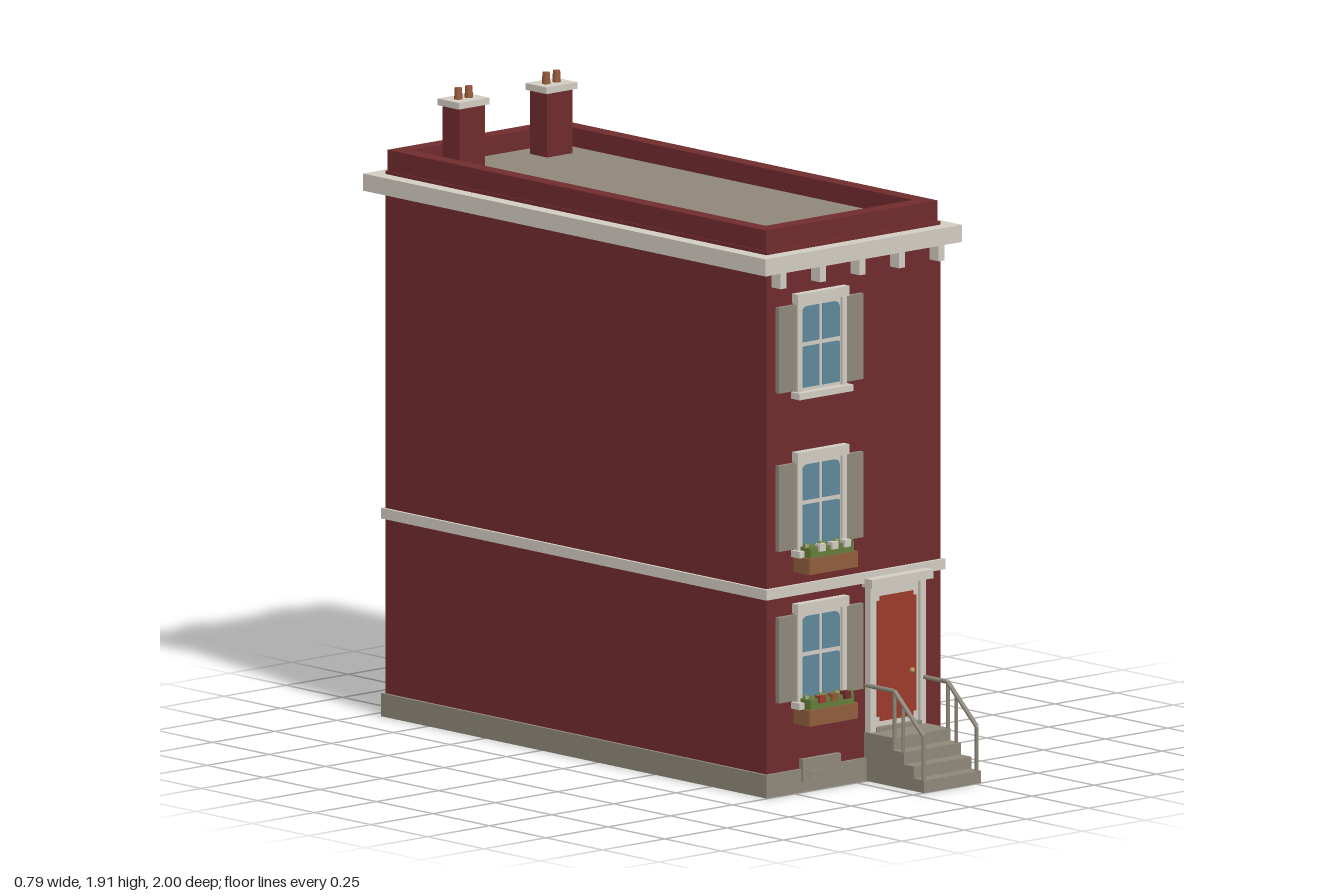
import * as THREE from 'three';

const mat = (name, color) => new THREE.MeshStandardMaterial({ name, color });

export function createModel() {
  const model = new THREE.Group();
  model.name = 'townhouse';
  const brick = mat('brick red', 0x702b2d);
  const cream = mat('cream trim', 0xd2cdc2);
  const stone = mat('grey stone', 0x8f8779);
  const glass = mat('blue glass', 0x5f889b);
  const doorRed = mat('door red', 0x9c3a2b);
  const wood = mat('planter wood', 0x8f5d3c);
  const green = mat('leaf green', 0x647b3b);
  const clay = mat('terracotta', 0x98583a);
  const brass = mat('brass', 0xb08d4a);

  const add = (name, geometry, material, parent = model) => {
    const m = new THREE.Mesh(geometry, material);
    m.name = name;
    parent.add(m);
    return m;
  };
  // box given by its limits on each axis
  const box = (name, material, [x0, x1], [y0, y1], [z0, z1], parent = model) => {
    const m = add(name, new THREE.BoxGeometry(x1 - x0, y1 - y0, z1 - z0), material, parent);
    m.position.set((x0 + x1) / 2, (y0 + y1) / 2, (z0 + z1) / 2);
    return m;
  };
  const group = (name, x = 0, y = 0, z = 0) => {
    const g = new THREE.Group();
    g.name = name;
    g.position.set(x, y, z);
    model.add(g);
    return g;
  };
  // horizontal rectangular ring, open in the middle
  const ring = (name, material, [x0, x1], [z0, z1], [y0, y1], [ix0, ix1], [iz0, iz1]) => {
    const rect = (P, a, b, c, d) => new P([[a, c], [b, c], [b, d], [a, d]].map(p => new THREE.Vector2(...p)));
    const s = rect(THREE.Shape, x0, x1, -z1, -z0);
    s.holes.push(rect(THREE.Path, ix0, ix1, -iz1, -iz0));
    const g = new THREE.ExtrudeGeometry(s, { depth: y1 - y0, bevelEnabled: false });
    g.rotateX(-Math.PI / 2);
    g.translate(0, y0, 0);
    return add(name, g, material);
  };

  // main walls, roof and horizontal trim
  const wx = [-0.35, 0.35], wz = [-0.95, 0.735];
  box('walls', brick, wx, [0, 1.655], wz);
  box('roof', stone, [-0.3, 0.3], [1.654, 1.66], [-0.9, 0.68]);
  ring('parapet', brick, [-0.345, 0.345], [-0.947, 0.728], [1.64, 1.718], [-0.295, 0.295], [-0.895, 0.672]);
  ring('cornice', cream, [-0.395, 0.395], [-1, 0.78], [1.593, 1.645], [-0.34, 0.34], [-0.94, 0.72]);
  ring('stringCourse', cream, [-0.36, 0.36], [-0.96, 0.746], [0.6, 0.632], [-0.34, 0.34], [-0.94, 0.72]);
  ring('plinth', stone, [-0.36, 0.36], [-0.958, 0.746], [0, 0.07], wx, wz);
  for (let i = -2; i <= 2; i++) {
    const x = i * 0.159;
    box('corniceBracket', cream, [x - 0.012, x + 0.012], [1.545, 1.595], [0.73, 0.775]);
  }

  // chimneys with two pots each
  for (const x of [-0.178, 0.175]) {
    const g = group('chimney', x, 0, -0.794);
    box('chimneyStack', brick, [-0.051, 0.051], [1.655, 1.857], [-0.038, 0.038], g);
    box('chimneyCap', cream, [-0.062, 0.062], [1.855, 1.875], [-0.047, 0.047], g);
    for (const px of [-0.021, 0.021]) {
      add('chimneyPot', new THREE.CylinderGeometry(0.011, 0.013, 0.036, 12), clay, g).position.set(px, 1.892, 0);
    }
  }

  // pane plate with a rounded outer upper corner; side is -1 or 1
  const paneGeometry = (w, h, side, arched) => {
    const s = new THREE.Shape(), r = arched ? 0.025 : 0.01;
    s.moveTo(0, 0);
    s.lineTo(w, 0);
    s.lineTo(w, h - r);
    s.quadraticCurveTo(w, h, w - r, h);
    s.lineTo(0, h);
    const g = new THREE.ExtrudeGeometry(s, { depth: 0.003, bevelEnabled: false });
    if (side < 0) g.translate(-w, 0, 0).rotateY(Math.PI).translate(-w, 0, 0.003).translate(0, 0, 0);
    return g;
  };

  // sash windows with shutters; y is the sill base
  const buildWindow = (y) => {
    const g = group('window', -0.143, y, 0.735);
    box('windowFrame', cream, [-0.095, 0.095], [0.01, 0.3], [-0.01, 0.012], g);
    for (const side of [-1, 1]) {
      for (const [y0, h, arched] of [[0.03, 0.125, false], [0.168, 0.108, true]]) {
        const pane = add('windowPane', paneGeometry(0.07, h, 1, arched), glass, g);
        pane.position.set(side * 0.006, y0, 0.0115);
        if (side < 0) {
          pane.rotation.y = Math.PI;
          pane.position.z += 0.003;
        }
      }
      box('frameSide', cream, [side * 0.09 - 0.009, side * 0.09 + 0.009], [0.01, 0.3], [0, 0.02], g);
      box('shutter', stone, [side * 0.134 - 0.036, side * 0.134 + 0.036], [0.025, 0.285], [-0.005, 0.015], g);
    }
    box('windowHeader', cream, [-0.104, 0.104], [0.288, 0.318], [-0.01, 0.026], g);
    box('windowSill', cream, [-0.108, 0.108], [0, 0.02], [-0.01, 0.038], g);
  };
  [1.197, 0.717, 0.257].forEach(buildWindow);

  // flower boxes
  [[0.67, [cream, cream, cream]], [0.21, [doorRed, clay, brick]]].forEach(([y, blooms]) => {
    const g = group('flowerBox', -0.143, y, 0.735);
    box('planter', wood, [-0.098, 0.098], [0, 0.048], [0, 0.07], g);
    box('foliage', green, [-0.088, 0.088], [0.046, 0.078], [0.018, 0.064], g);
    for (let i = 0; i < 6; i++) {
      const tuft = add('leafTuft', new THREE.IcosahedronGeometry(0.016, 0), green, g);
      tuft.position.set(-0.075 + i * 0.03, 0.076, 0.035 + (i % 2) * 0.02);
    }
    blooms.forEach((m, i) => {
      const x = -0.045 + i * 0.05;
      box('bloom', m, [x - 0.012, x + 0.012], [0.066, 0.088], [0.05, 0.072], g);
    });
  });

  // front door
  const door = group('frontDoor', 0.158, 0, 0.735);
  box('doorSurround', cream, [-0.112, 0.112], [0.145, 0.6], [-0.01, 0.015], door);
  for (const s of [-1, 1]) box('doorJamb', cream, [s * 0.1 - 0.012, s * 0.1 + 0.012], [0.145, 0.59], [0, 0.025], door);
  box('doorHeader', cream, [-0.124, 0.124], [0.588, 0.615], [-0.01, 0.045], door);
  box('doorThreshold', stone, [-0.09, 0.09], [0.145, 0.16], [0, 0.03], door);
  box('doorLeafTall', doorRed, [-0.066, 0.066], [0.176, 0.555], [0.01, 0.0195], door);
  box('doorLeafWide', doorRed, [-0.078, 0.078], [0.19, 0.541], [0.01, 0.019], door);
  add('doorKnob', new THREE.SphereGeometry(0.009, 12, 8), brass, door).position.set(0.055, 0.315, 0.026);

  // stoop: landing and three lower steps
  [[0.147, 0.865], [0.11, 0.912], [0.074, 0.957], [0.038, 1]].forEach(([h, z], i) => {
    box(i ? 'step' : 'landing', stone, [0.042, 0.272], [0, h], [0.735, z]);
  });

  // handrails on both sides of the stoop
  const bar = (name, a, b, r, parent) => {
    const path = new THREE.LineCurve3(new THREE.Vector3(0, ...a), new THREE.Vector3(0, ...b));
    add(name, new THREE.TubeGeometry(path, 1, r, 8), stone, parent);
  };
  for (const x of [0.05, 0.264]) {
    const g = group('railing', x, 0, 0);
    bar('lowerPost', [0.038, 0.99], [0.172, 0.99], 0.006, g);
    bar('middlePost', [0.1, 0.9], [0.255, 0.9], 0.005, g);
    bar('upperPost', [0.145, 0.862], [0.288, 0.862], 0.006, g);
    bar('slopedRail', [0.17, 0.992], [0.288, 0.862], 0.007, g);
    bar('levelRail', [0.288, 0.865], [0.288, 0.735], 0.007, g);
  }

  // cellar opening cover
  box('cellarSurround', stone, [-0.218, -0.066], [0.03, 0.1], [0.73, 0.752]);
  box('cellarPanel', stone, [-0.195, -0.089], [0.035, 0.062], [0.745, 0.756]);

  return model;
}
